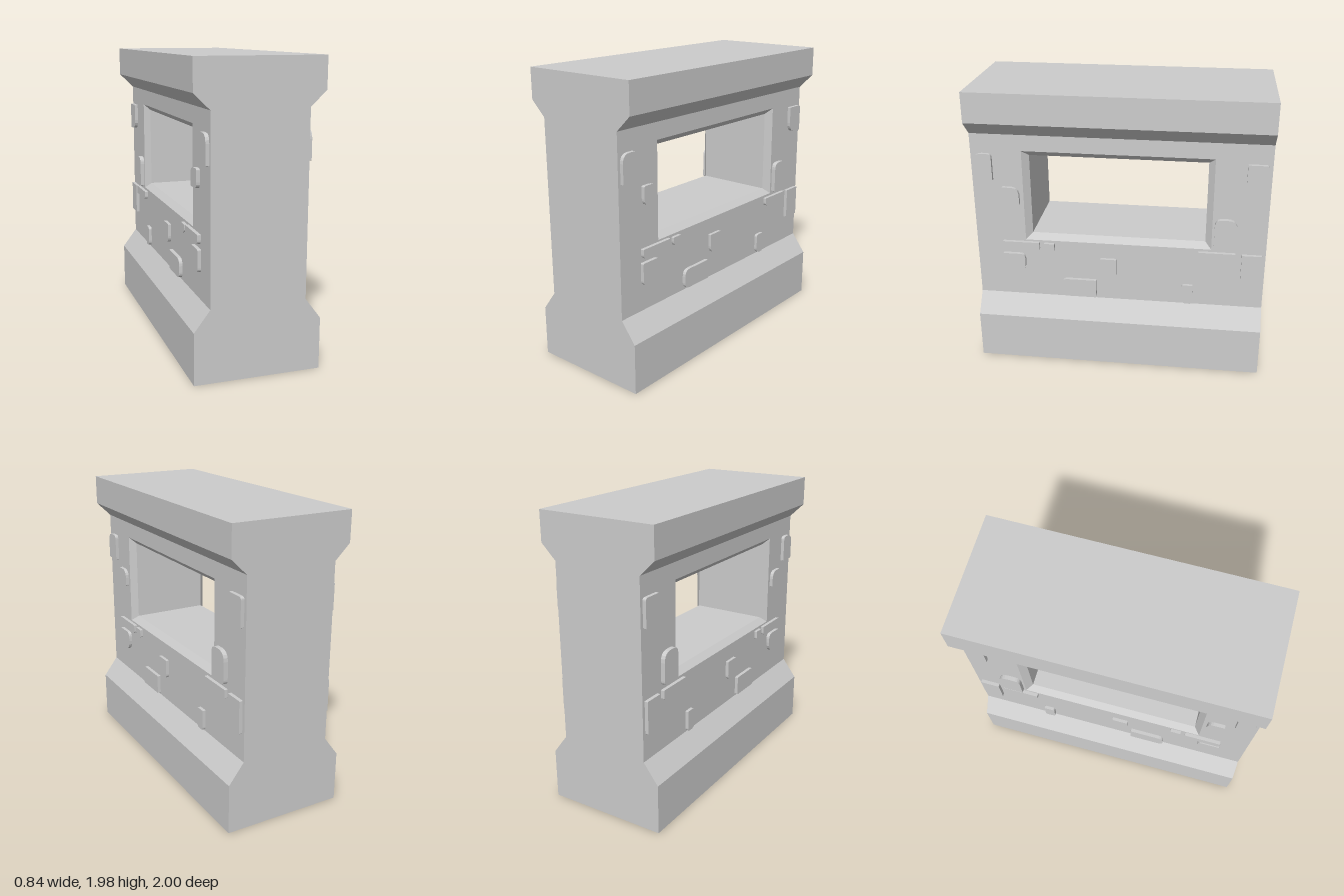
import * as THREE from 'three';

const WALL = 0.314;   // half thickness of the recessed wall
const WIDE = 0.418;   // half thickness of base and cap

export function createModel() {
  const group = new THREE.Group();
  const stone = new THREE.MeshStandardMaterial({ color: 0xcccccc });
  stone.name = 'grey stone';

  const add = (name, geometry) => {
    const mesh = new THREE.Mesh(geometry, stone);
    mesh.name = name;
    group.add(mesh);
    return mesh;
  };

  // Base and cap: mirrored cross-sections run along z
  const course = (name, half) => {
    const pts = [...half, ...half.map(([x, y]) => [-x, y]).reverse()];
    const shape = new THREE.Shape(pts.map(([x, y]) => new THREE.Vector2(x, y)));
    add(name, new THREE.ExtrudeGeometry(shape, { depth: 2, bevelEnabled: false }).translate(0, 0, -1));
  };
  course('base', [[WIDE, 0], [WIDE, 0.34], [WALL, 0.477]]);
  course('cap', [[WALL, 1.675], [WIDE, 1.775], [WIDE, 1.98]]);

  // Wall with a chamfered window: a closed loop of rectangles
  const edge = [1, -1, 0.477, 1.675];              // z front, z back, y low, y high
  const mouth = [0.653, -0.632, 0.91, 1.563];
  const tunnel = [0.61, -0.59, 0.95, 1.523];
  const inset = WALL - 0.042;
  const rings = [[WALL, edge], [WALL, mouth], [inset, tunnel], [-inset, tunnel], [-WALL, mouth], [-WALL, edge]]
    .map(([x, [zf, zb, y0, y1]]) => [[x, y0, zf], [x, y0, zb], [x, y1, zb], [x, y1, zf]]);
  const pos = [];
  rings.forEach((ring, i) => {
    const next = rings[(i + 1) % rings.length];
    for (let k = 0; k < 4; k++) {
      const m = (k + 1) % 4;
      pos.push(...ring[k], ...ring[m], ...next[m], ...ring[k], ...next[m], ...next[k]);
    }
  });
  const wall = new THREE.BufferGeometry();
  wall.setAttribute('position', new THREE.Float32BufferAttribute(pos, 3));
  wall.computeVertexNormals();
  add('windowWall', wall);

  // Raised stones: u0, u1, y0, y1 (u = -z), corner radii tl, tr, br, bl, outer face x
  const stones = [
    [-0.98, -0.855, 1.35, 1.54, 0.06, 0.03, 0.003, 0.003, 0.338],
    [-0.80, -0.68, 1.18, 1.305, 0.01, 0.06, 0.01, 0.04, 0.338],
    [-0.815, -0.555, 0.833, 0.898, 0.004, 0.004, 0.02, 0.03, 0.338],
    [-0.525, -0.45, 0.833, 0.893, 0.004, 0.004, 0.01, 0.035, 0.336],
    [-0.82, -0.66, 0.655, 0.805, 0.01, 0.04, 0.08, 0.03, 0.338],
    [-0.13, -0.017, 0.66, 0.797, 0.004, 0.004, 0.03, 0.05, 0.336],
    [-0.41, -0.16, 0.49, 0.625, 0.05, 0.004, 0.004, 0.04, 0.338],
    [0.44, 0.517, 0.485, 0.63, 0.02, 0.004, 0.02, 0.04, 0.336],
    [0.648, 0.80, 0.923, 1.145, 0.05, 0.07, 0.03, 0.004, 0.344],
    [0.84, 0.977, 1.35, 1.54, 0.004, 0.02, 0.004, 0.07, 0.338],
    [0.84, 0.977, 0.665, 0.887, 0.004, 0.004, 0.004, 0.004, 0.338],
    [0.545, 0.80, 0.833, 0.893, 0.004, 0.004, 0.004, 0.025, 0.338],
  ];
  for (const [u0, u1, y0, y1, tl, tr, br, bl, out] of stones) {
    const s = new THREE.Shape();
    s.moveTo(u0 + bl, y0).lineTo(u1 - br, y0).quadraticCurveTo(u1, y0, u1, y0 + br);
    s.lineTo(u1, y1 - tr).quadraticCurveTo(u1, y1, u1 - tr, y1);
    s.lineTo(u0 + tl, y1).quadraticCurveTo(u0, y1, u0, y1 - tl);
    s.lineTo(u0, y0 + bl).quadraticCurveTo(u0, y0, u0 + bl, y0);
    const depth = out - 0.305;
    const geometry = new THREE.ExtrudeGeometry(s, { depth, bevelEnabled: false, curveSegments: 5 }).rotateY(Math.PI / 2);
    add('leftStone', geometry).position.x = 0.305;
    add('rightStone', geometry).position.x = -out;
  }
  return group;
}
